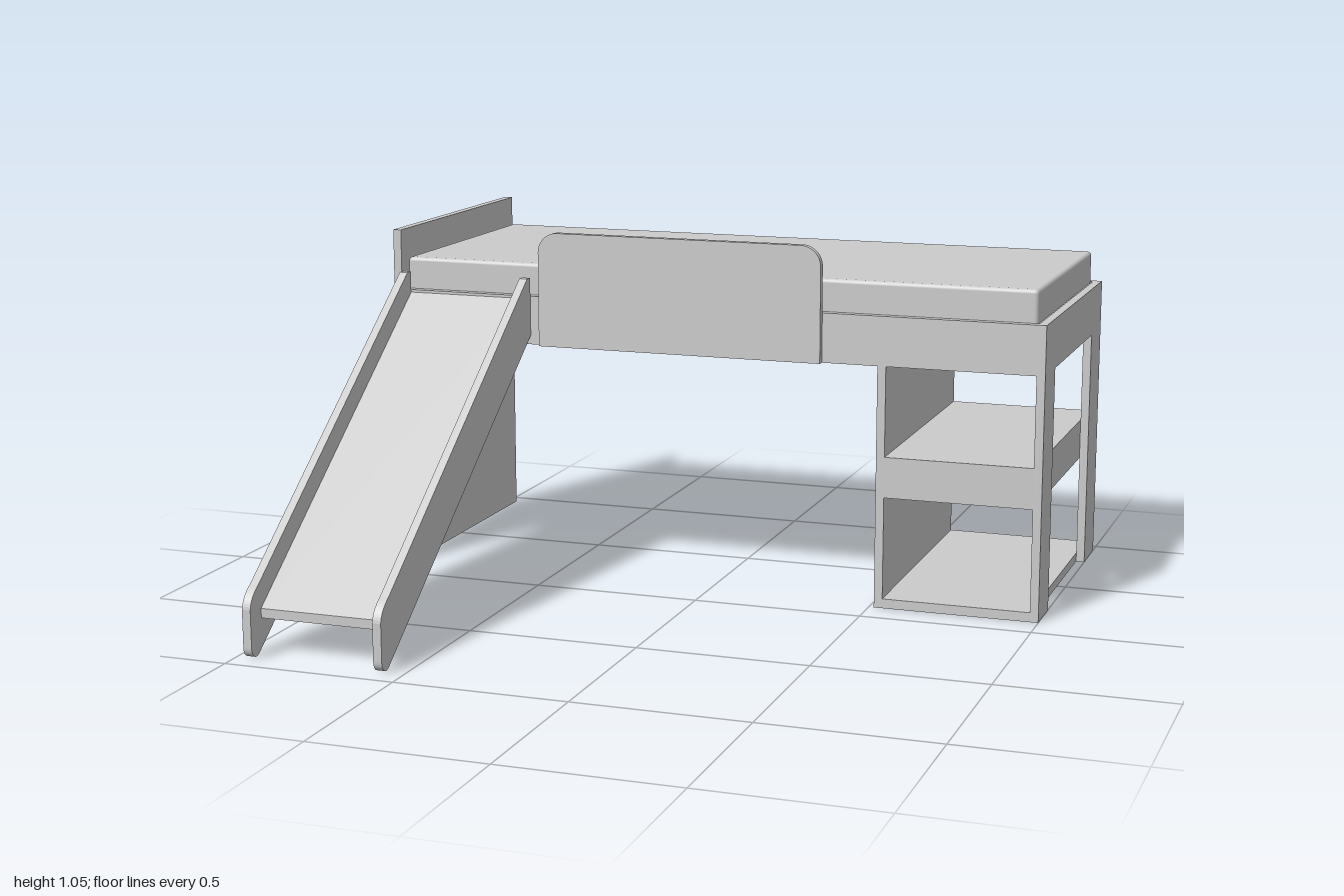
import * as THREE from 'three';
import { RoundedBoxGeometry } from 'three/addons/geometries/RoundedBoxGeometry.js';

const material = new THREE.MeshStandardMaterial({ color: 0xcccccc });

export function createModel() {
  const model = new THREE.Group();

  const add = (name, geometry) => {
    const mesh = new THREE.Mesh(geometry, material);
    mesh.name = name;
    model.add(mesh);
    return mesh;
  };

  // Board given by its lower and upper limits on each axis
  const board = (name, x0, x1, y0, y1, z0, z1) => {
    const geometry = new THREE.BoxGeometry(x1 - x0, y1 - y0, z1 - z0);
    geometry.translate((x0 + x1) / 2, (y0 + y1) / 2, (z0 + z1) / 2);
    return add(name, geometry);
  };

  // Profile drawn as (z, y), extruded from x0 to x1
  const sideways = (name, shape, x0, x1) => {
    const geometry = new THREE.ExtrudeGeometry(shape, { depth: x1 - x0, bevelEnabled: false, curveSegments: 8 });
    geometry.rotateY(-Math.PI / 2); // (z, y, d) -> (-d, y, z)
    geometry.translate(x1, 0, 0);
    return add(name, geometry);
  };

  const polygon = (points) => new THREE.Shape(points.map(([a, b]) => new THREE.Vector2(a, b)));

  // Bed frame
  board('headboard', -1, -0.975, 0, 1.04, -0.95, -0.1);
  board('frontRail', -0.975, 0.975, 0.715, 0.86, -0.125, -0.1);
  board('backRail', -0.975, 0.975, 0.715, 0.86, -0.95, -0.925);
  board('bedDeck', -0.975, 0.975, 0.835, 0.858, -0.925, -0.125);

  // Foot end: an upside-down U with two wide posts
  sideways('footPanel', polygon([
    [-0.95, 0], [-0.8, 0], [-0.8, 0.715], [-0.24, 0.715],
    [-0.24, 0], [-0.1, 0], [-0.1, 0.86], [-0.95, 0.86],
  ]), 0.975, 1);

  // Mattress with softened edges
  const mattress = add('mattress', new RoundedBoxGeometry(1.935, 0.11, 0.8, 3, 0.012));
  mattress.position.set(0.0025, 0.9, -0.525);

  // Shelf unit under the foot end
  board('shelfPartition', 0.515, 0.54, 0, 0.715, -0.95, -0.1);
  board('shelfPartitionTop', 0.515, 0.54, 0.715, 0.835, -0.925, -0.125);
  board('shelfFloor', 0.54, 0.975, 0, 0.028, -0.95, -0.1);
  board('middleShelf', 0.54, 0.975, 0.425, 0.45, -0.95, -0.125);
  board('shelfFrontApron', 0.54, 0.975, 0.33, 0.45, -0.125, -0.1);
  board('shelfEndApron', 0.95, 0.975, 0.33, 0.425, -0.95, -0.125);

  // Guard panel with rounded top corners
  const guard = new THREE.Shape();
  guard.moveTo(-0.52, 0.715);
  guard.lineTo(0.35, 0.715);
  guard.lineTo(0.35, 0.995);
  guard.absarc(0.29, 0.995, 0.06, 0, Math.PI / 2);
  guard.lineTo(-0.46, 1.055);
  guard.absarc(-0.46, 0.995, 0.06, Math.PI / 2, Math.PI);
  const guardGeometry = new THREE.ExtrudeGeometry(guard, { depth: 0.022, bevelEnabled: false, curveSegments: 8 });
  guardGeometry.translate(0, 0, -0.1);
  add('guardPanel', guardGeometry);

  // Slide sides with rounded feet
  const slideSide = new THREE.Shape();
  slideSide.moveTo(-0.1, 0.742);
  slideSide.lineTo(0.905, 0.01);
  slideSide.quadraticCurveTo(0.925, -0.004, 0.94, 0.01);
  slideSide.quadraticCurveTo(0.95, 0.018, 0.95, 0.035);
  slideSide.lineTo(0.95, 0.14);
  slideSide.quadraticCurveTo(0.945, 0.175, 0.9, 0.2);
  slideSide.lineTo(-0.077, 0.915);
  slideSide.lineTo(-0.1, 0.915);
  for (const x of [-0.97, -0.58]) sideways('slideSide', slideSide, x, x + 0.025);

  // Sloping slide surface
  sideways('slideSurface', polygon([
    [-0.1, 0.825], [0.89, 0.103], [0.89, 0.13], [-0.1, 0.852],
  ]), -0.945, -0.58);

  return model;
}
